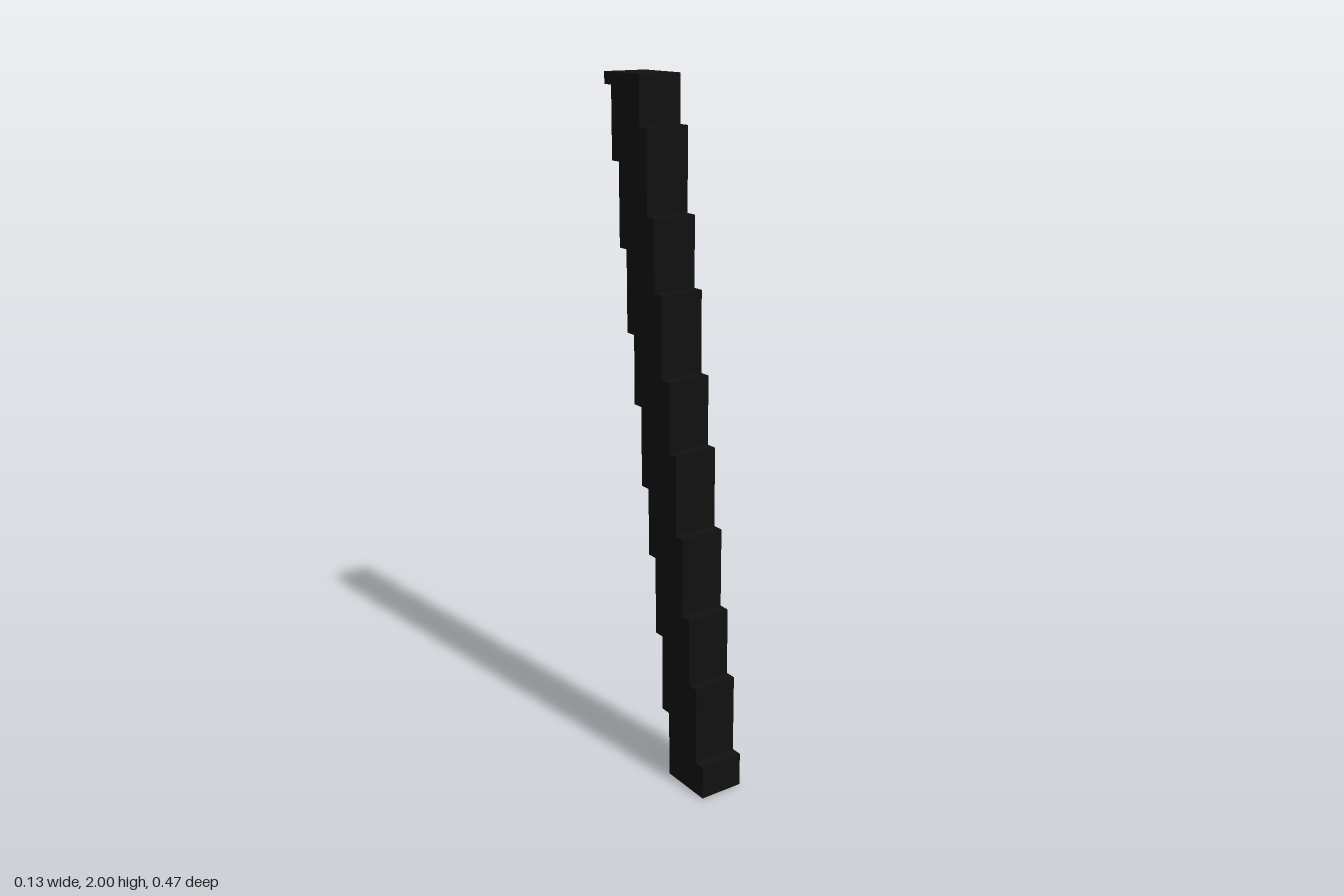
import * as THREE from 'three';

const U = 1 / 30; // block unit
const WIDTH = 4;

// Heights (in units) at which each edge steps back by one unit
const FRONT_STEPS = [3, 10, 16, 23, 30, 36, 43, 49, 56];
const BACK_STEPS = [6, 13, 20, 26, 33, 39, 46, 53, 59];
const TOP = 60;

// Stair-stepped edge from the ground to the top, as [z, y] points
function steppedEdge(startZ, steps) {
  const points = [[startZ, 0]];
  steps.forEach((y, i) => points.push([startZ - i, y], [startZ - i - 1, y]));
  points.push([startZ - steps.length, TOP]);
  return points;
}

export function createModel() {
  const black = new THREE.MeshStandardMaterial({ color: 0x111111 });
  black.name = 'black';

  // Side outline: up the front edge, down the back edge
  const outline = [...steppedEdge(7, FRONT_STEPS), ...steppedEdge(2, BACK_STEPS).reverse()];
  const shape = new THREE.Shape(outline.map(([z, y]) => new THREE.Vector2(-z * U, y * U)));

  // Leaning post, extruded across its width
  const geometry = new THREE.ExtrudeGeometry(shape, { depth: WIDTH * U, bevelEnabled: false });
  geometry.translate(0, 0, -WIDTH * U / 2);
  geometry.rotateY(Math.PI / 2);

  const post = new THREE.Mesh(geometry, black);
  post.name = 'steppedPost';

  const group = new THREE.Group();
  group.name = 'leaningPost';
  group.add(post);
  return group;
}
